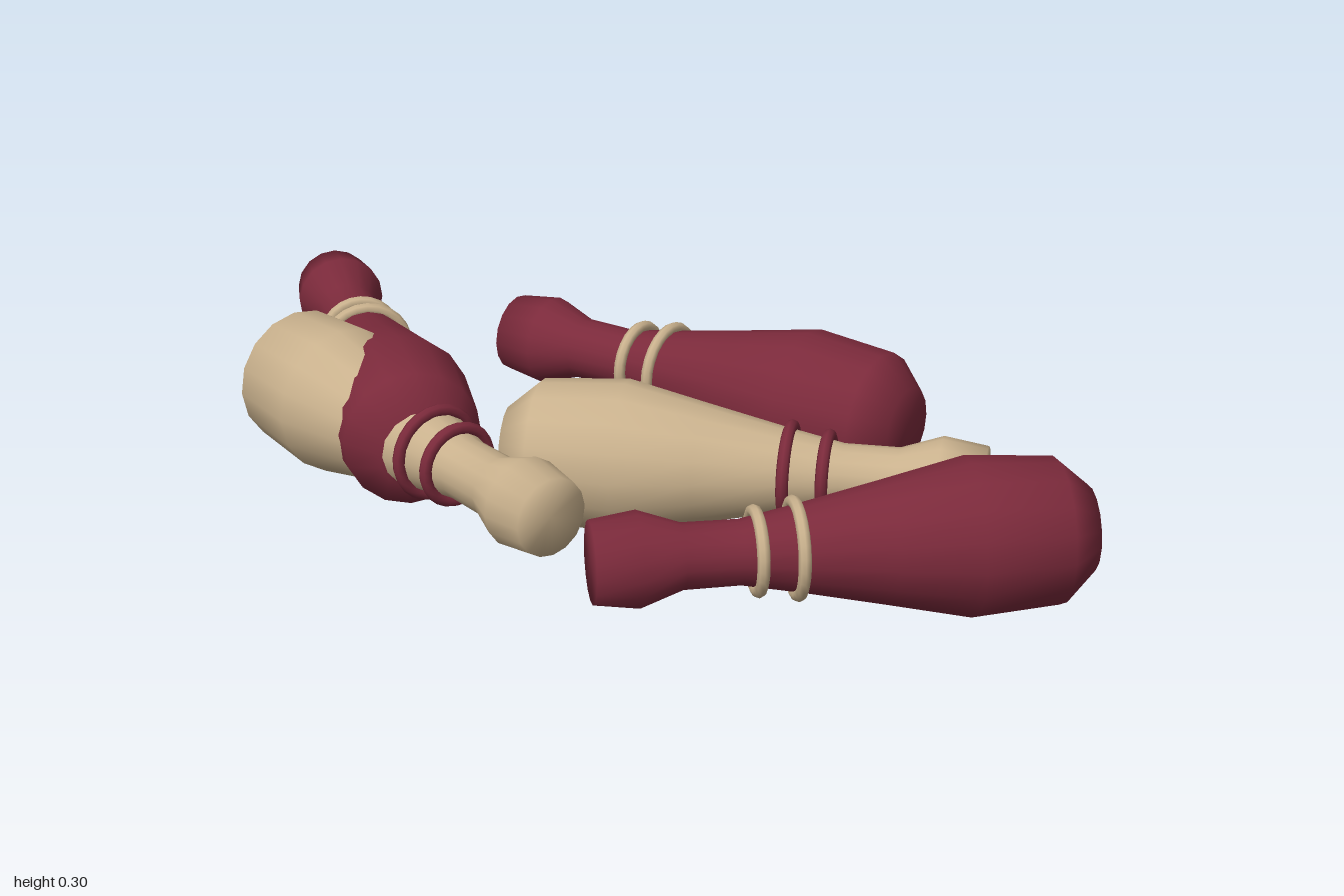
import * as THREE from 'three';

// Pin profile as [radius, distance from the head end]
const PROFILE = [
  [0, 0], [0.077, 0], [0.089, 0.085], [0.061, 0.165], [0.06, 0.27],
  [0.083, 0.39], [0.115, 0.54], [0.148, 0.69], [0.136, 0.855], [0.08, 0.917], [0, 0.917],
];
// Neck rings as [radius, distance from the head end]
const RINGS = [[0.073, 0.3], [0.085, 0.372]];
const RADIUS = 0.148;

function makePin(name, bodyMat, ringMat, head, base) {
  const pin = new THREE.Group();
  pin.name = name;

  const points = PROFILE.map(([r, t]) => new THREE.Vector2(r, t));
  const body = new THREE.Mesh(new THREE.LatheGeometry(points, 16), bodyMat);
  body.name = 'pinBody';
  pin.add(body);

  RINGS.forEach(([r, t], i) => {
    const ring = new THREE.Mesh(new THREE.TorusGeometry(r, 0.012, 8, 24), ringMat);
    ring.name = `neckRing${i + 1}`;
    ring.rotation.x = Math.PI / 2;
    ring.position.y = t;
    pin.add(ring);
  });

  // Lay the pin on its side, pointing from head to base
  const dir = new THREE.Vector3(base[0] - head[0], 0, base[1] - head[1]).normalize();
  pin.quaternion.setFromUnitVectors(new THREE.Vector3(0, 1, 0), dir);
  pin.position.set(head[0], RADIUS, head[1]);
  return pin;
}

export function createModel() {
  const red = new THREE.MeshStandardMaterial({ color: 0x7b2a3b });
  red.name = 'dark red';
  const beige = new THREE.MeshStandardMaterial({ color: 0xc9b18d });
  beige.name = 'beige';

  const model = new THREE.Group();
  model.name = 'scatteredPins';
  // Head and base centres given as [x, z]
  model.add(
    makePin('backPin', red, beige, [-0.462, -0.378], [0.455, -0.378]),
    makePin('leftRedPin', red, beige, [-0.947, -0.388], [-0.272, 0.23]),
    makePin('leftBeigePin', beige, red, [0.108, 0.342], [-0.75, 0.035]),
    makePin('centreBeigePin', beige, red, [0.712, -0.213], [-0.13, 0.113]),
    makePin('rightRedPin', red, beige, [0.272, 0.46], [0.947, -0.152]),
  );
  return model;
}
